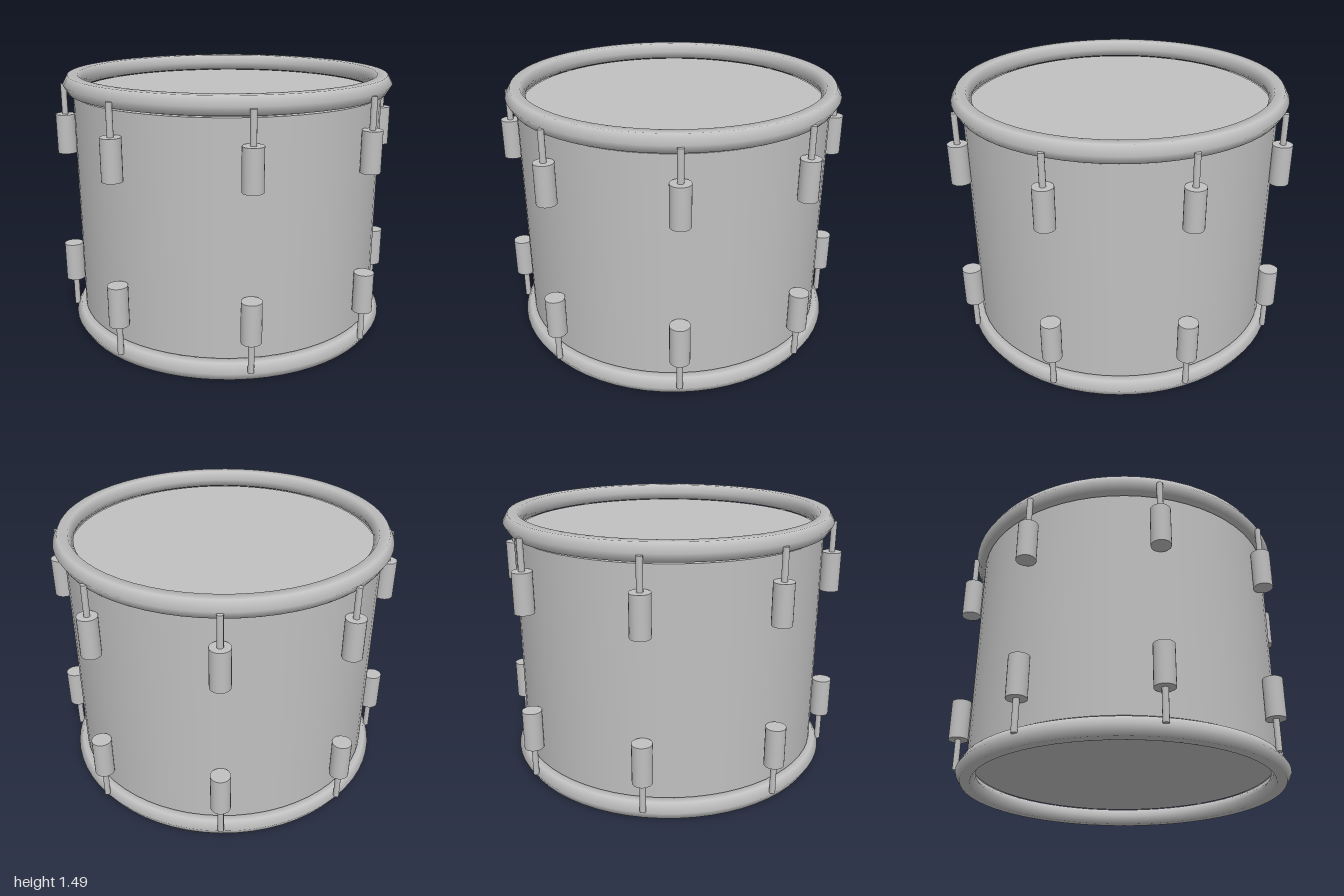
import * as THREE from 'three';

const HEIGHT = 1.488;
const grey = new THREE.MeshStandardMaterial({ color: 0xc0c0c0 });
grey.name = 'plainGrey';

function addMesh(parent, name, geometry, x, y, z) {
  const mesh = new THREE.Mesh(geometry, grey);
  mesh.name = name;
  mesh.position.set(x, y, z);
  parent.add(mesh);
  return mesh;
}

// Upright cylinder spanning two heights
function addCylinder(parent, name, radius, y0, y1, sides, x = 0, z = 0) {
  const geometry = new THREE.CylinderGeometry(radius, radius, y1 - y0, sides);
  return addMesh(parent, name, geometry, x, (y0 + y1) / 2, z);
}

export function createModel() {
  const drum = new THREE.Group();
  drum.name = 'drum';

  // Shell
  addCylinder(drum, 'shell', 0.89, 0.11, HEIGHT - 0.11, 64);

  // Heads sit between the shell and the six-sided hoops
  addCylinder(drum, 'bottomHead', 0.858, 0.099, 0.112, 64);
  addCylinder(drum, 'topHead', 0.858, HEIGHT - 0.112, HEIGHT - 0.099, 64);

  const hoop = new THREE.TorusGeometry(0.889, 0.056, 6, 64).rotateX(Math.PI / 2);
  addMesh(drum, 'bottomHoop', hoop, 0, 0.0485, 0);
  addMesh(drum, 'topHoop', hoop, 0, HEIGHT - 0.0485, 0);

  // Eight pairs of lugs with tension rods reaching into the hoops
  for (let i = 0; i < 8; i++) {
    const angle = (i * Math.PI) / 4;
    const x = 0.945 * Math.sin(angle);
    const z = 0.945 * Math.cos(angle);
    const tuner = new THREE.Group();
    tuner.name = 'tunerPair' + (i + 1);
    addCylinder(tuner, 'bottomLug', 0.055, 0.233, 0.46, 24, x, z);
    addCylinder(tuner, 'bottomRod', 0.017, 0.058, 0.24, 12, x, z);
    addCylinder(tuner, 'topLug', 0.055, HEIGHT - 0.46, HEIGHT - 0.233, 24, x, z);
    addCylinder(tuner, 'topRod', 0.017, HEIGHT - 0.24, HEIGHT - 0.058, 12, x, z);
    drum.add(tuner);
  }

  return drum;
}
